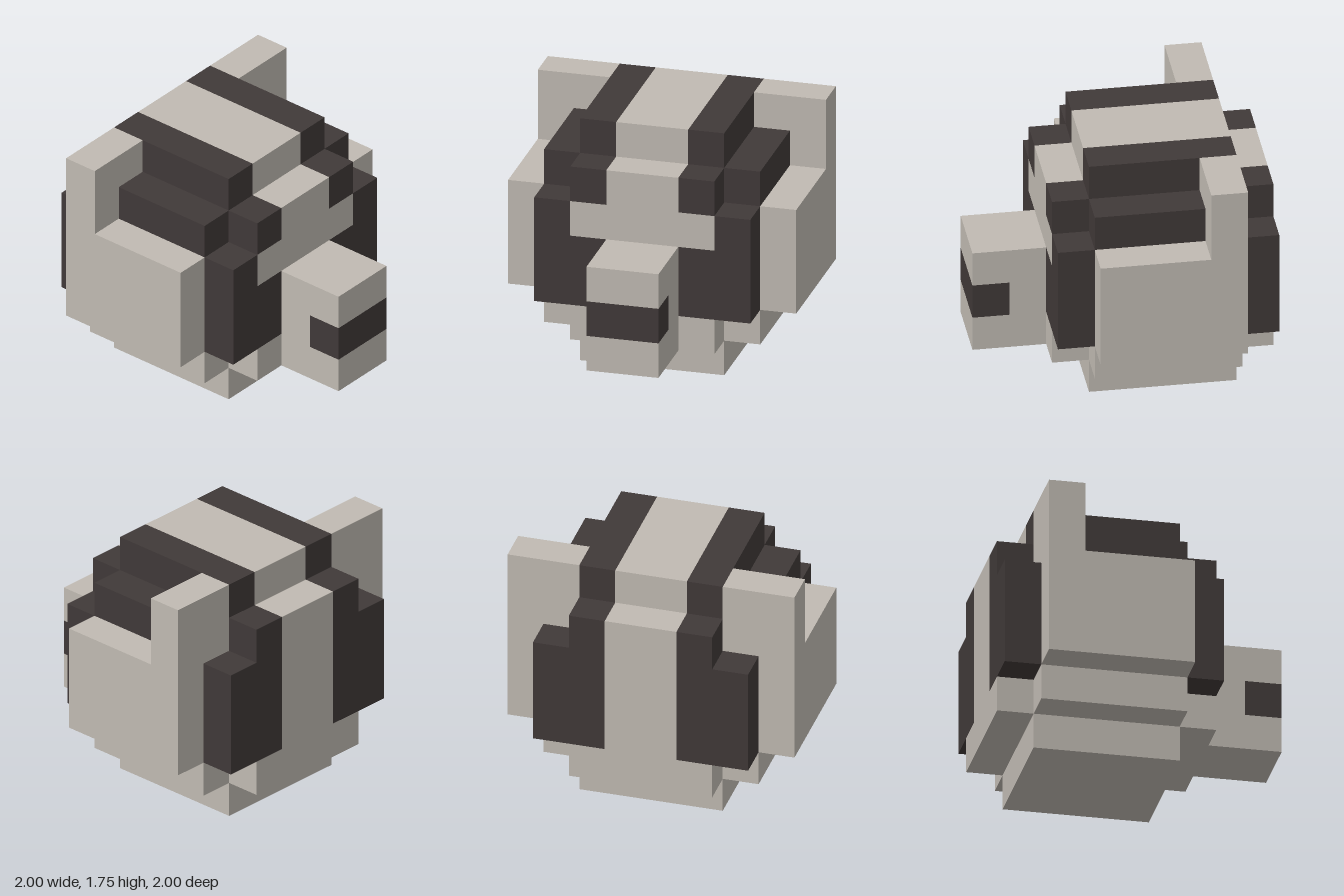
import * as THREE from 'three';

// Blocky animal head on a 0.25 unit grid.
export function createModel() {
  const light = new THREE.MeshStandardMaterial({ color: 0xc0bab2 });
  light.name = 'pale fur';
  const dark = new THREE.MeshStandardMaterial({ color: 0x403938 });
  dark.name = 'dark fur';

  const model = new THREE.Group();
  model.name = 'head';

  // Box given by its limits on each axis
  function block(name, material, [x0, x1], [y0, y1], [z0, z1]) {
    const mesh = new THREE.Mesh(new THREE.BoxGeometry(x1 - x0, y1 - y0, z1 - z0), material);
    mesh.position.set((x0 + x1) / 2, (y0 + y1) / 2, (z0 + z1) / 2);
    mesh.name = name;
    model.add(mesh);
  }
  // The same box on the left (+x) and right (-x)
  function pair(name, material, [x0, x1], y, z) {
    block(name + 'Left', material, [x0, x1], y, z);
    block(name + 'Right', material, [-x1, -x0], y, z);
  }

  // Neck and stepped jaw
  block('neck', light, [-0.5, 0.5], [0, 0.25], [-0.75, 0.25]);
  block('jaw', light, [-0.5, 0.5], [0.25, 0.5], [-1, 0.5]);
  pair('jawSide', light, [0.5, 0.75], [0.25, 0.5], [-0.75, 0.25]);

  // Inner skull and cheeks
  block('skull', light, [-0.75, 0.75], [0.5, 1.25], [-0.75, 0.25]);
  pair('cheek', light, [0.75, 1], [0.5, 1.25], [-0.75, 0.25]);

  // Face mask with pale brow
  block('faceMask', dark, [-0.5, 0.5], [0.5, 1], [0.25, 0.5]);
  block('brow', light, [-0.5, 0.5], [1, 1.25], [0.25, 0.5]);
  pair('maskSide', dark, [0.5, 0.75], [0.5, 1.25], [0.25, 0.5]);

  // Back of the head
  block('backStripe', light, [-0.25, 0.25], [0.5, 1.25], [-1, -0.75]);
  pair('backPatch', dark, [0.25, 0.75], [0.5, 1.25], [-1, -0.75]);

  // Striped crown in two steps
  block('crownLower', light, [-0.25, 0.25], [1.25, 1.5], [-1, 0.5]);
  block('crownUpper', light, [-0.25, 0.25], [1.5, 1.75], [-0.75, 0.25]);
  pair('stripeLower', dark, [0.25, 0.5], [1.25, 1.5], [-1, 0.5]);
  pair('stripeUpper', dark, [0.25, 0.5], [1.5, 1.75], [-0.75, 0.25]);
  pair('crownSide', dark, [0.5, 0.75], [1.25, 1.5], [-0.5, 0.25]);

  // Ears
  pair('ear', light, [0.5, 1], [1.25, 1.75], [-0.75, -0.5]);

  // Snout with dark nose band
  block('chin', light, [-0.25, 0.25], [0.25, 0.5], [0.5, 1]);
  block('snoutMiddle', light, [-0.25, 0.25], [0.5, 0.75], [0.5, 0.75]);
  block('nose', dark, [-0.25, 0.25], [0.5, 0.75], [0.75, 1]);
  block('snoutTop', light, [-0.25, 0.25], [0.75, 1], [0.5, 1]);

  return model;
}
